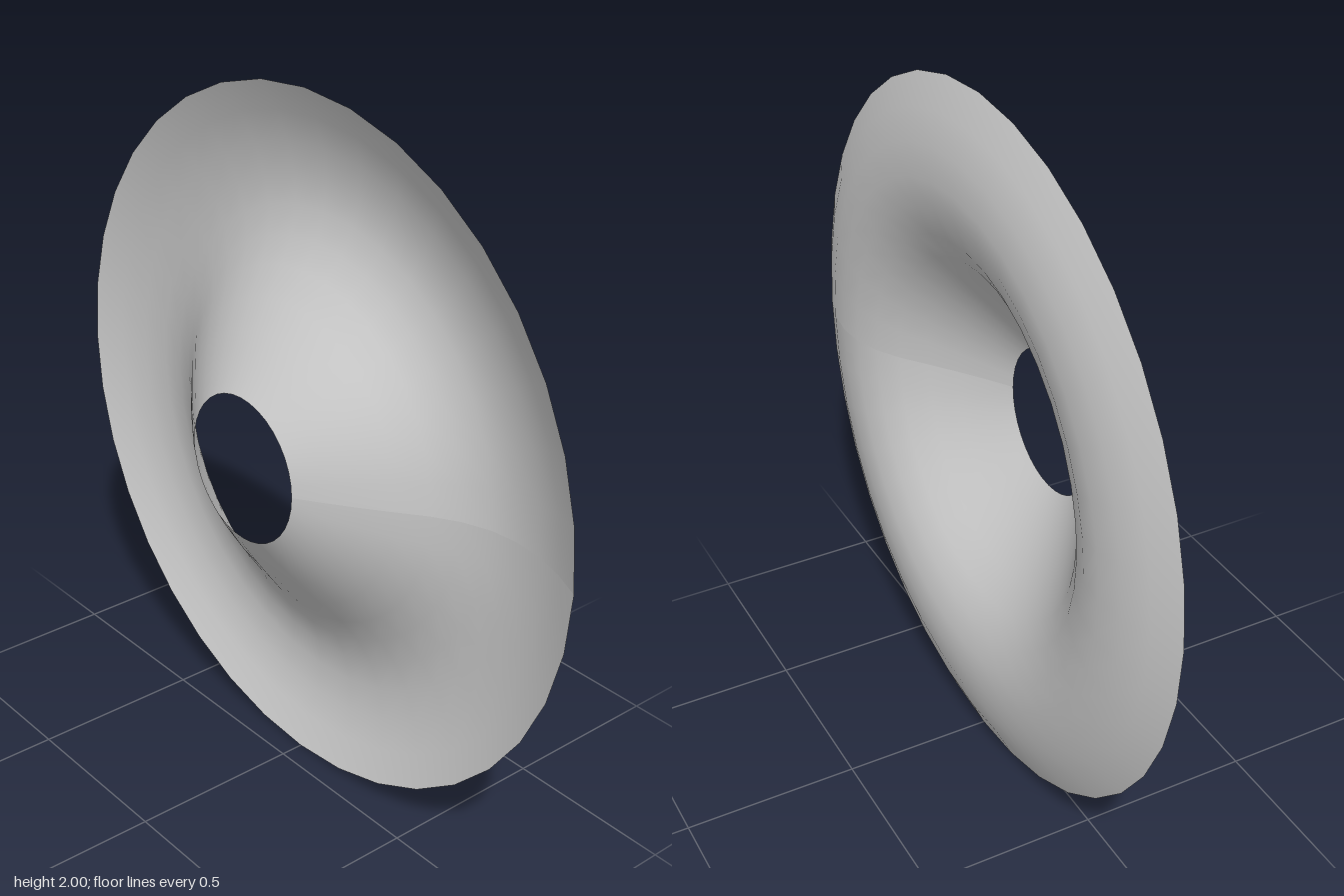
import * as THREE from 'three';

export function createModel() {
  const group = new THREE.Group();
  group.name = 'dishedRing';

  const grey = new THREE.MeshStandardMaterial({ color: 0xcccccc, side: THREE.DoubleSide });
  grey.name = 'light grey';

  // Profile from the hole's raised lip, down the cone, through the trough to the rim
  const profile = [
    [0.21, 0.143], [0.285, 0.095], [0.36, 0.043], [0.435, -0.012],
    [0.51, -0.068], [0.58, -0.109], [0.66, -0.136], [0.74, -0.143],
    [0.83, -0.132], [0.915, -0.106], [1, -0.068],
  ].map(([r, z]) => new THREE.Vector2(r, z));

  // Thin open shell turned around the z axis, with its seam on the left side
  const shell = new THREE.LatheGeometry(profile, 36, Math.PI / 2);
  shell.rotateX(Math.PI / 2);
  shell.computeVertexNormals();

  const dish = new THREE.Mesh(shell, grey);
  dish.name = 'dish';
  dish.position.y = 1;
  group.add(dish);
  return group;
}
